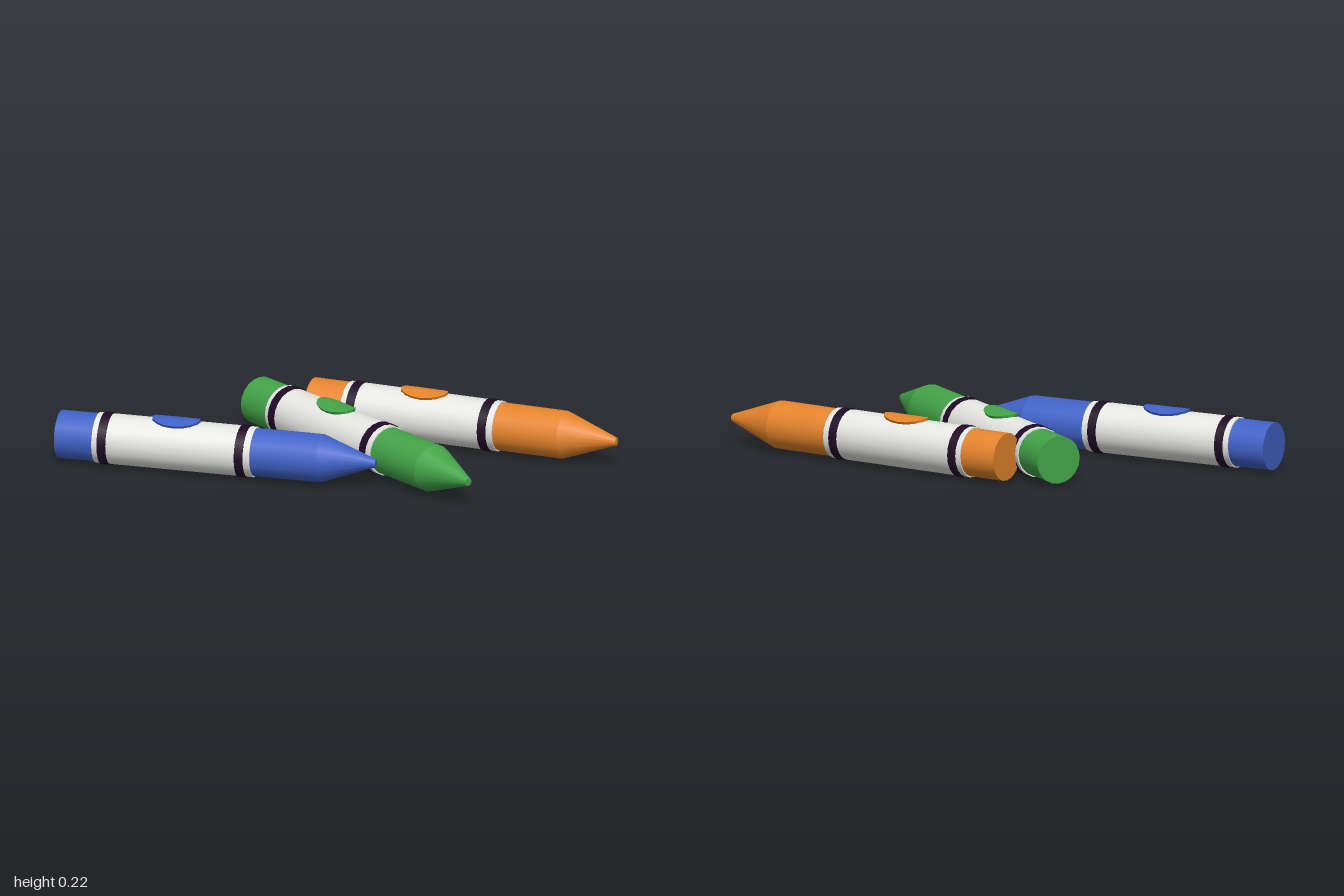
import * as THREE from 'three';

const SIDES = 20;
const AXIS_Y = 0.107;

const material = (name, color) => {
  const m = new THREE.MeshStandardMaterial({ color });
  m.name = name;
  return m;
};

// A round section lying along +x, from x0 (radius r0) to x1 (radius r1)
function section(name, x0, x1, r0, r1, mat) {
  const geo = new THREE.CylinderGeometry(r1, r0, x1 - x0, SIDES);
  geo.rotateZ(-Math.PI / 2);
  geo.translate((x0 + x1) / 2, 0, 0);
  const mesh = new THREE.Mesh(geo, mat);
  mesh.name = name;
  return mesh;
}

// Oval badge: a disc with a rim, wrapped over the top of the sleeve
function ovalBadge(x, mat) {
  const profile = [[1, 0], [1, 1], [1, 1], [0.67, 1], [0.33, 1], [0, 1]];
  const geo = new THREE.LatheGeometry(profile.map(([r, h]) => new THREE.Vector2(r, h)), 16);
  const p = geo.attributes.position;
  for (let i = 0; i < p.count; i++) {
    const angle = p.getZ(i) * 0.56;
    const r = 0.1 + p.getY(i) * 0.0125;
    p.setXYZ(i, x + p.getX(i) * 0.1, r * Math.cos(angle), r * Math.sin(angle));
  }
  geo.computeVertexNormals();
  const mesh = new THREE.Mesh(geo, mat);
  mesh.name = 'ovalBadge';
  return mesh;
}

// One crayon, its flat end at (x, z) and its tip turned by angle about y
function crayon(name, x, z, angle, wax, paper, ink) {
  const g = new THREE.Group();
  g.name = name;
  g.add(
    section('waxBody', 0, 1.092, 0.097, 0.097, wax),
    section('pointedTip', 1.092, 1.315, 0.097, 0.016, wax),
    section('paperSleeve', 0.157, 0.815, 0.102, 0.102, paper),
    section('rearBand', 0.18, 0.216, 0.106, 0.106, ink),
    section('frontBand', 0.752, 0.788, 0.106, 0.106, ink),
    ovalBadge(0.483, wax)
  );
  g.position.set(x, AXIS_Y, z);
  g.rotation.y = angle;
  return g;
}

export function createModel() {
  const model = new THREE.Group();
  model.name = 'crayons';
  const paper = material('white paper', 0xe6e6e3);
  const ink = material('dark ink', 0x200a26);
  const crayons = [
    ['blueCrayon', -0.976, 0.502, 0.247, material('blue wax', 0x4062c8)],
    ['greenCrayon', -0.498, -0.26, -0.353, material('green wax', 0x43a448)],
    ['orangeCrayon', -0.305, -0.355, 0.138, material('orange wax', 0xe5842c)],
  ];
  for (const [name, x, z, angle, wax] of crayons) {
    model.add(crayon(name, x, z, angle, wax, paper, ink));
  }
  return model;
}
